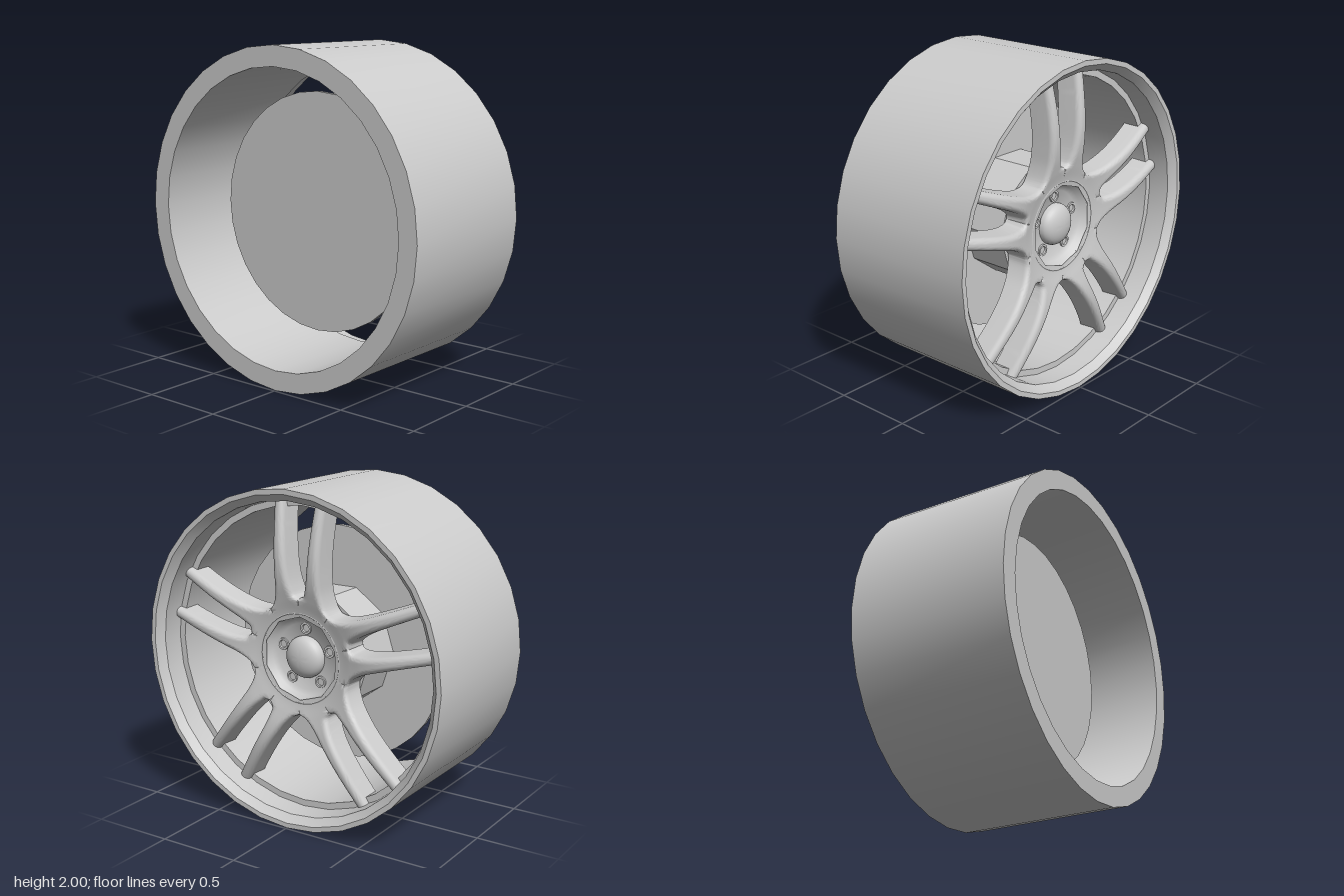
import * as THREE from 'three';
import { toCreasedNormals } from 'three/addons/utils/BufferGeometryUtils.js';

const metal = new THREE.MeshStandardMaterial({ color: 0xcccccc });
metal.name = 'grey metal';

// Turned part around the wheel axis (x); profile is [radius, x] pairs.
function turned(name, profile, sides, crease = 0.6) {
  const geo = new THREE.LatheGeometry(profile.map(([r, x]) => new THREE.Vector2(r, x)), sides);
  geo.rotateZ(-Math.PI / 2);
  const mesh = new THREE.Mesh(toCreasedNormals(geo, crease), metal);
  mesh.name = name;
  return mesh;
}

const curve = pts => new THREE.CatmullRomCurve3(pts.map(p => new THREE.Vector3(...p)));

// Edges of one spoke with its share of the hub, as [outward, sideways, edge rounding].
const slotEdge = curve([
  [0.25, 0, 0], [0.3, 0, 0], [0.345, 0, 0.3], [0.362, 0.004, 1], [0.374, 0.028, 1],
  [0.42, 0.047, 1], [0.5, 0.064, 1], [0.7, 0.085, 1], [0.917, 0.104, 1],
]);
const valleyEdge = curve([
  [0.202, 0.147, 0], [0.235, 0.171, 0], [0.265, 0.192, 0.3], [0.279, 0.199, 1], [0.31, 0.178, 1],
  [0.39, 0.158, 1], [0.5, 0.154, 1], [0.7, 0.16, 1], [0.917, 0.172, 1],
]);

// Front of the spokes: x against radius.
const frontCurve = new THREE.SplineCurve([
  [0.2, 0.335], [0.28, 0.345], [0.36, 0.365], [0.44, 0.383], [0.52, 0.393],
  [0.6, 0.395], [0.68, 0.39], [0.76, 0.38], [0.84, 0.367], [0.92, 0.352], [1, 0.335],
].map(p => new THREE.Vector2(...p)));
const frontAt = r => frontCurve.getPoint(THREE.MathUtils.clamp((r - 0.2) / 0.8, 0, 1)).y;

// Cross-section across a spoke, from back corner over the rounded front to back corner.
function section(t) {
  const a = slotEdge.getPoint(t), b = valleyEdge.getPoint(t);
  const len = Math.hypot(b.x - a.x, b.y - a.y);
  const pts = [];
  const add = (dist, drop) => {
    const u = THREE.MathUtils.lerp(a.x, b.x, dist / len), v = THREE.MathUtils.lerp(a.y, b.y, dist / len);
    pts.push([u, v, frontAt(Math.hypot(u, v)) - drop]);
  };
  const rounding = w => {
    const k = THREE.MathUtils.clamp(w, 0, 1), list = [[-0.006 * k, 0.15]];
    for (let i = 0; i <= 6; i++) {
      const q = i / 6 * Math.PI / 2;
      list.push([Math.min(0.033 * k, len * 0.47) * (1 - Math.cos(q)), 0.036 * k * (1 - Math.sin(q))]);
    }
    return list;
  };
  const left = rounding(a.z), right = rounding(b.z);
  left.forEach(([d, z]) => add(d, z));
  const from = left.at(-1)[0], to = len - right.at(-1)[0];
  for (let i = 1; i < 6; i++) add(THREE.MathUtils.lerp(from, to, i / 6), 0);
  right.reverse().forEach(([d, z]) => add(len - d, z));
  return pts;
}

// Five pairs of spokes, each pair a spoke and its mirror image.
function spokes() {
  const steps = 64, rings = [];
  for (let i = 0; i <= steps; i++) rings.push(section(i / steps));
  const n = rings[0].length, out = [];
  for (let k = 0; k < 5; k++) {
    const a = Math.PI / 2 + k * Math.PI * 2 / 5, c = Math.cos(a), s = Math.sin(a);
    for (const side of [1, -1]) {
      const put = ([u, v, x]) => out.push(x, u * s + side * v * c, -(u * c - side * v * s));
      const tri = (p, q, r) => (side > 0 ? [p, q, r] : [p, r, q]).forEach(put);
      for (let i = 0; i < steps; i++) {
        for (let j = 0; j < n; j++) {
          const m = (j + 1) % n, p = rings[i], q = rings[i + 1];
          tri(p[j], q[j], q[m]);
          tri(p[j], q[m], p[m]);
        }
      }
      // flat tip
      const tip = rings[steps];
      for (let j = 1; j < n - 1; j++) tri(tip[0], tip[j + 1], tip[j]);
    }
  }
  const geo = new THREE.BufferGeometry();
  geo.setAttribute('position', new THREE.Float32BufferAttribute(out, 3));
  const mesh = new THREE.Mesh(toCreasedNormals(geo, 0.8), metal);
  mesh.name = 'spokes';
  return mesh;
}

export function createModel() {
  const wheel = new THREE.Group();
  wheel.name = 'wheel';

  // Rim with chamfered front lip, inner step and open back
  wheel.add(turned('rim', [
    [1, -0.49], [1, 0.49], [0.97, 0.49], [0.928, 0.445], [0.924, 0.31], [0.885, 0.31], [0.88, -0.49], [1, -0.49],
  ], 32));

  wheel.add(spokes());

  // Bowl in the middle of the hub
  wheel.add(turned('hubBowl', [
    [0.28, 0.32], [0.279, 0.343], [0.268, 0.345], [0.255, 0.333], [0.228, 0.295], [0.2, 0.275], [0, 0.268],
  ], 40, 0.9));

  // Domed centre cap
  const dome = [[0.125, 0.26], [0.125, 0.295]];
  for (let i = 1; i <= 8; i++) {
    const a = i / 8 * Math.PI / 2;
    dome.push([0.122 * Math.cos(a), 0.295 + 0.06 * Math.sin(a)]);
  }
  wheel.add(turned('centreCap', dome, 32, 0.7));

  // Five hollow wheel bolts
  for (let k = 0; k < 5; k++) {
    const a = Math.PI / 2 + k * Math.PI * 2 / 5;
    const bolt = turned('wheelBolt', [
      [0.036, 0.25], [0.036, 0.284], [0.024, 0.284], [0.021, 0.275], [0, 0.275],
    ], 16);
    bolt.position.set(0, 0.17 * Math.sin(a), -0.17 * Math.cos(a));
    wheel.add(bolt);
  }

  // Ten-sided hub carrier and the brake disc behind it
  wheel.add(turned('hubCarrier', [[0, -0.1], [0.375, -0.1], [0.375, 0.2], [0, 0.2]], 10, 0.3));
  wheel.add(turned('brakeDisc', [[0, -0.11], [0.72, -0.11], [0.72, -0.08], [0, -0.08]], 32));

  wheel.position.y = 1;
  const model = new THREE.Group();
  model.name = 'wheelModel';
  model.add(wheel);
  return model;
}
